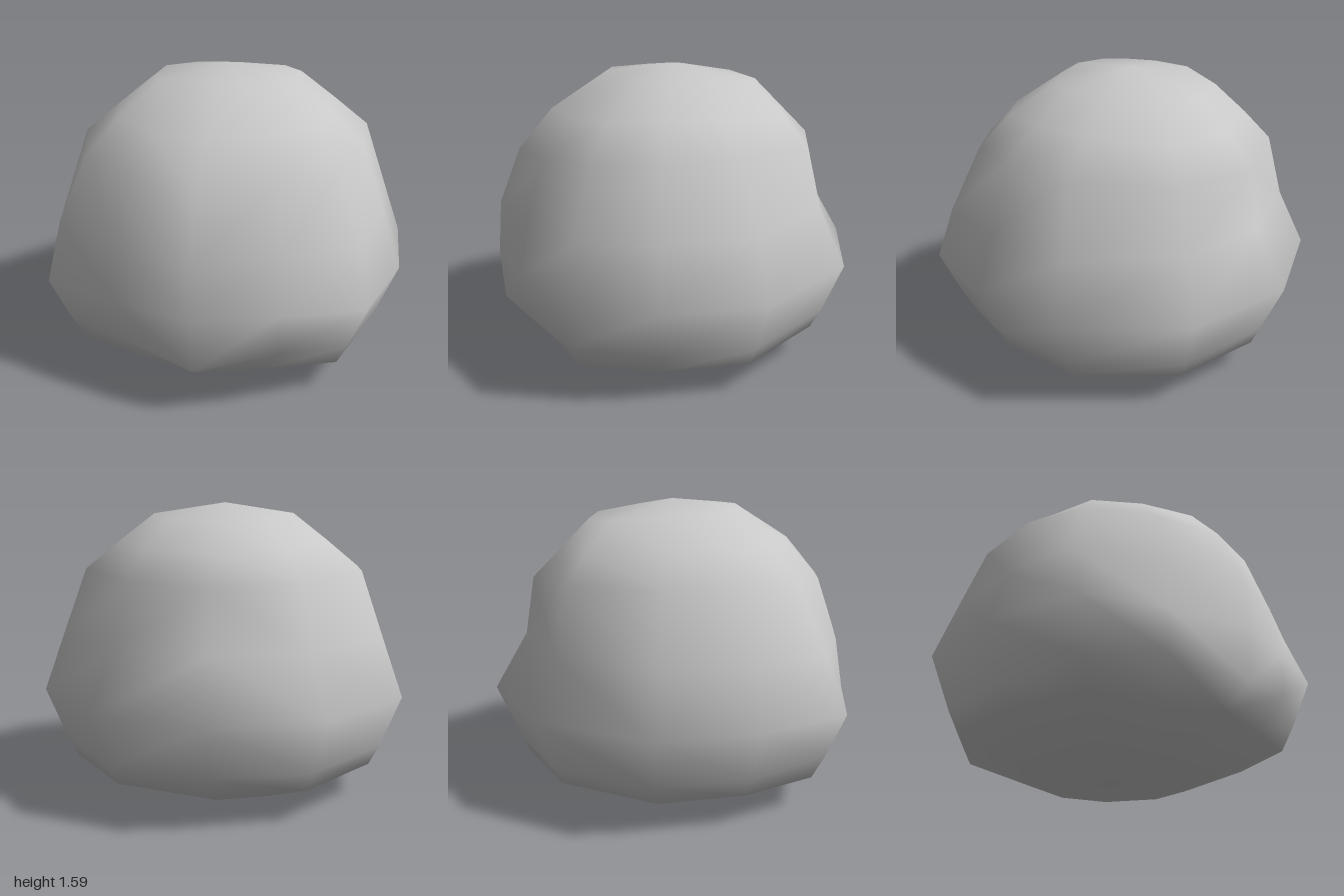
import * as THREE from 'three';

const grey = new THREE.MeshStandardMaterial({ color: 0xc8c8c8 });
grey.name = 'grey';

// Half outline of the widest ring, from the back round to the front: [x, z]
const outline = [[0, -1], [0.575, -0.82], [0.975, -0.29], [0.975, 0.24], [0.815, 0.73], [0.4, 0.88], [0, 0.995]];
const scaled = (y, s) => outline.map(([x, z]) => [x * s, y, z * s]);

// Half rings from bottom to top: [x, y, z]
const halfRings = [
  scaled(0.015, 0.45),
  scaled(0.175, 0.835),
  // chin ridge, lowest at the middle
  [[0, 0.28, -0.88], [0.51, 0.28, -0.73], [0.865, 0.28, -0.26], [0.865, 0.28, 0.22],
    [0.73, 0.31, 0.66], [0.4, 0.35, 0.86], [0, 0.28, 0.98]],
  scaled(0.565, 1),
  [[0, 0.87, -0.82], [0.49, 0.87, -0.7], [0.87, 0.87, -0.26], [0.87, 0.87, 0.22],
    [0.77, 0.86, 0.63], [0.4, 0.85, 0.83], [0, 0.85, 0.97]],
  [[0, 1.18, -0.77], [0.44, 1.2, -0.63], [0.75, 1.23, -0.2], [0.75, 1.23, 0.2],
    [0.64, 1.2, 0.52], [0.35, 1.18, 0.73], [0, 1.15, 0.85]],
  [[0, 1.34, -0.61], [0.35, 1.35, -0.52], [0.57, 1.38, -0.16], [0.57, 1.38, 0.16],
    [0.5, 1.37, 0.42], [0.28, 1.36, 0.58], [0, 1.36, 0.67]],
  [[0, 1.49, -0.46], [0.26, 1.5, -0.38], [0.38, 1.53, -0.12], [0.38, 1.53, 0.1],
    [0.32, 1.53, 0.25], [0.17, 1.55, 0.32], [0, 1.555, 0.36]],
];

// Joins mirrored rings into a closed smooth shell with a pole at each end
function loft(halves, bottom, top) {
  const rings = halves.map(h => [...h, ...h.slice(1, -1).reverse().map(([x, y, z]) => [-x, y, z])]);
  const n = rings[0].length;
  const points = [...rings.flat(), bottom, top];
  const low = points.length - 2, high = points.length - 1;
  const index = [];
  for (let j = 0; j < n; j++) {
    const k = (j + 1) % n;
    index.push(low, j, k);
    for (let i = 0; i < rings.length - 1; i++) {
      const a = i * n + j, b = i * n + k;
      // mirror the diagonal on the other side
      if (j < n / 2) index.push(a, a + n, b, b, a + n, b + n);
      else index.push(a, a + n, b + n, a, b + n, b);
    }
    const last = (rings.length - 1) * n;
    index.push(last + j, high, last + k);
  }
  const geometry = new THREE.BufferGeometry();
  geometry.setAttribute('position', new THREE.Float32BufferAttribute(points.flat(), 3));
  geometry.setIndex(index);
  geometry.computeVertexNormals();
  return geometry;
}

export function createModel() {
  const group = new THREE.Group();
  group.name = 'roundedBlob';
  const body = new THREE.Mesh(loft(halfRings, [0, 0, 0], [0, 1.59, 0]), grey);
  body.name = 'body';
  group.add(body);
  return group;
}
